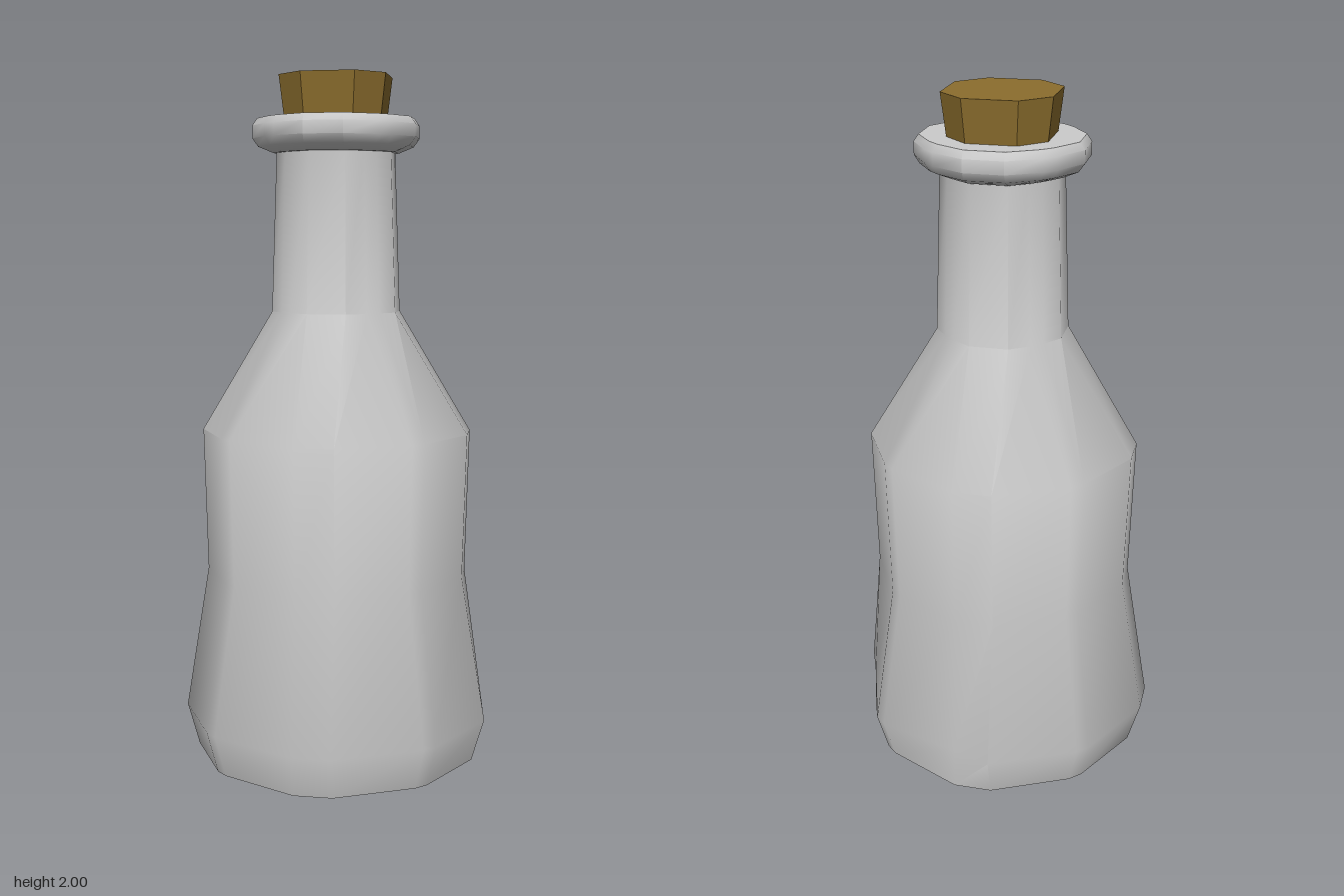
import * as THREE from 'three';
import { toCreasedNormals } from 'three/addons/utils/BufferGeometryUtils.js';

const DEPTH = 0.96; // sections are slightly shallower in z than in x

// Octagon with every corner chamfered: wide flats on the axes, narrow ones on the diagonals
function chamferedRing(r) {
  const points = [];
  const wide = Math.min(0.054, r * 0.31), narrow = 0.021;
  for (let k = 0; k < 8; k++) {
    const a = (k * Math.PI) / 4;
    const half = k % 2 ? narrow : wide;
    const R = k % 2 ? r * 0.985 : r;
    for (const s of [-half, half]) {
      points.push([R * Math.cos(a) - s * Math.sin(a), (R * Math.sin(a) + s * Math.cos(a)) * DEPTH]);
    }
  }
  return points;
}

// Eight-sided cork section
function corkRing(r) {
  const h = r * 0.5;
  return [[r, -h], [r, h], [h, r], [-h, r], [-r, h], [-r, -h], [-h, -r], [h, -r]];
}

// Skin a profile of [radius, y] with sections, closing both ends
function loft(profile, section, adjust) {
  const positions = [], index = [];
  const rings = profile.map(([r]) => section(r));
  const n = rings[0].length;
  rings.forEach((ring, i) => ring.forEach(([x, z], j) => {
    const [px, pz] = adjust ? adjust(x, z, i, j) : [x, z];
    positions.push(px, profile[i][1], pz);
  }));
  for (let i = 0; i < rings.length - 1; i++) {
    for (let j = 0; j < n; j++) {
      const a = i * n + j, b = i * n + ((j + 1) % n);
      index.push(a, a + n, b, b, a + n, b + n);
    }
  }
  const bottom = positions.length / 3, top = bottom + 1;
  positions.push(0, profile[0][1], 0, 0, profile[profile.length - 1][1], 0);
  const last = (rings.length - 1) * n;
  for (let j = 0; j < n; j++) {
    const k = (j + 1) % n;
    index.push(bottom, j, k, top, last + k, last + j);
  }
  const geometry = new THREE.BufferGeometry();
  geometry.setAttribute('position', new THREE.Float32BufferAttribute(positions, 3));
  geometry.setIndex(index);
  return geometry;
}

export function createModel() {
  const group = new THREE.Group();
  const glass = new THREE.MeshStandardMaterial({ color: 0xcccccc });
  const corkMaterial = new THREE.MeshStandardMaterial({ color: 0x8c6e2e, flatShading: true });

  const add = (name, geometry, material) => {
    const mesh = new THREE.Mesh(geometry, material);
    mesh.name = name;
    group.add(mesh);
  };

  // Body and neck, with a dent in the base at the back left corner
  const bodyProfile = [
    [0.25, 0], [0.405, 0.06], [0.44, 0.18], [0.37, 0.6],
    [0.38, 1.01], [0.175, 1.35], [0.16, 1.8],
  ];
  const dent = (x, z, i, j) => {
    if (i === 2 && j === 0) return [0.4, z];
    if (i === 2 && j === 13) return [x, -0.385];
    return [x, z];
  };
  add('bottle', toCreasedNormals(loft(bodyProfile, chamferedRing, dent), 0.7), glass);

  // Rounded lip
  const lipProfile = [[0.17, 1.79], [0.212, 1.807], [0.228, 1.83], [0.228, 1.865], [0.214, 1.885]];
  add('lip', toCreasedNormals(loft(lipProfile, chamferedRing), 0.7), glass);

  // Tapered cork
  add('cork', loft([[0.125, 1.8], [0.148, 2]], corkRing), corkMaterial);

  return group;
}
